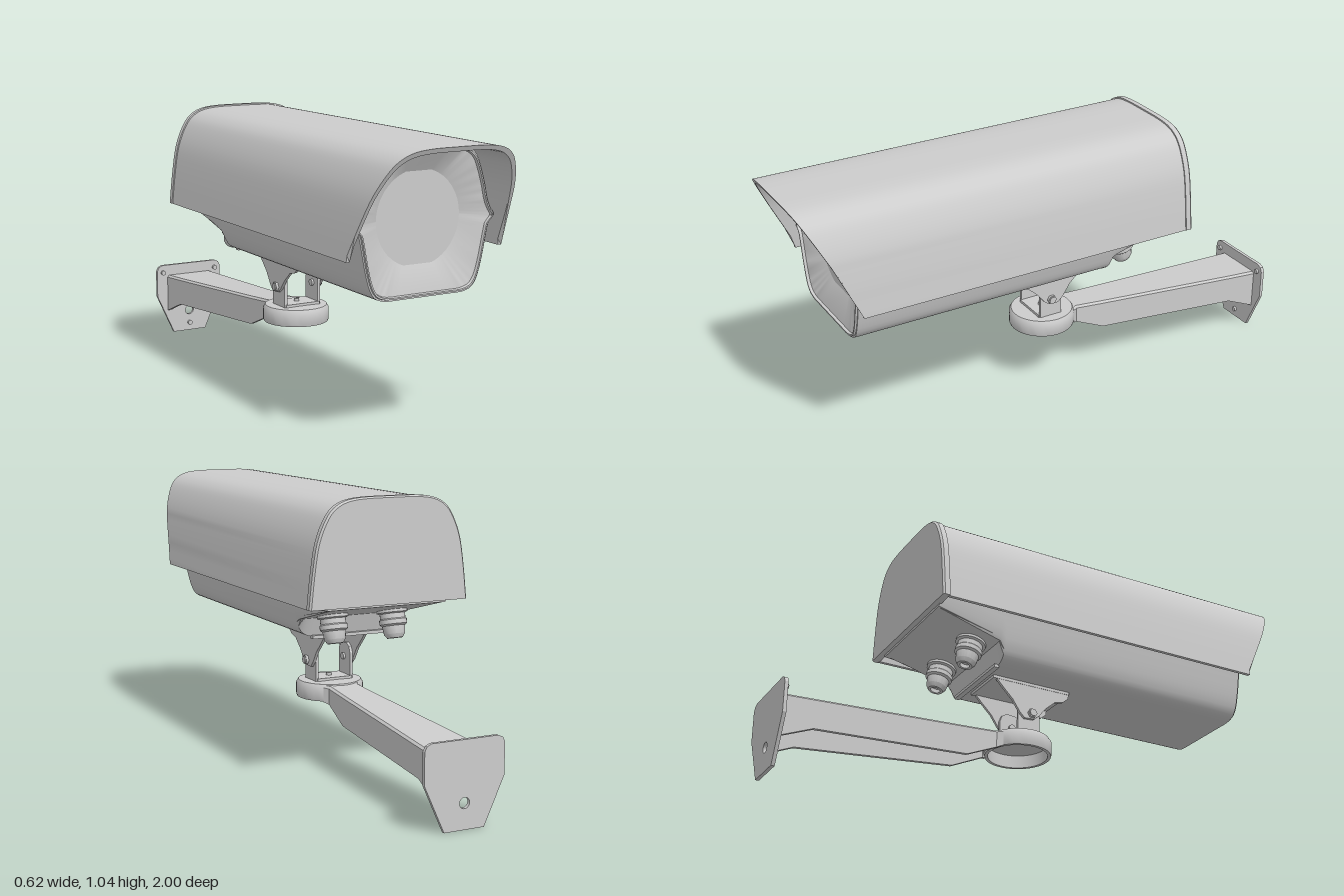
import * as THREE from 'three';
import { toCreasedNormals } from 'three/addons/utils/BufferGeometryUtils.js';

const paint = new THREE.MeshStandardMaterial({ color: 0xcccccc, side: THREE.DoubleSide });
paint.name = 'light grey paint';

const V = (x, y, z) => new THREE.Vector3(x, y, z);

function add(parent, name, geometry, x = 0, y = 0, z = 0) {
  const mesh = new THREE.Mesh(geometry, paint);
  mesh.name = name;
  mesh.position.set(x, y, z);
  parent.add(mesh);
  return mesh;
}

// Skin over counter-clockwise rings, ordered front to back, with optional end caps
function loft(rings, capFront = true, capBack = true, crease = 0.6) {
  const n = rings[0].length, index = [];
  const pos = rings.flat().flatMap((p) => [p.x, p.y, p.z]);
  for (let r = 0; r < rings.length - 1; r++) {
    for (let i = 0; i < n; i++) {
      const a = r * n + i, b = r * n + (i + 1) % n;
      index.push(a, a + n, b, b, a + n, b + n);
    }
  }
  const cap = (r, flip) => {
    const flat = rings[r].map((p) => new THREE.Vector2(p.x, p.y));
    for (const [a, b, c] of THREE.ShapeUtils.triangulateShape(flat, [])) {
      index.push(r * n + a, r * n + (flip ? c : b), r * n + (flip ? b : c));
    }
  };
  if (capFront) cap(0, false);
  if (capBack) cap(rings.length - 1, true);
  const g = new THREE.BufferGeometry();
  g.setAttribute('position', new THREE.Float32BufferAttribute(pos, 3));
  g.setIndex(index);
  return toCreasedNormals(g, crease);
}

// Smooth half outline on +x, mirrored to -x
function mirrored(half, samples) {
  const pts = new THREE.SplineCurve(half.map(([x, y]) => new THREE.Vector2(x, y))).getPoints(samples);
  return [...pts, ...pts.slice().reverse().map((p) => new THREE.Vector2(-p.x, p.y))];
}

// Plate drawn in (z, y), with its thickness along x
function sidePlate(points, thick) {
  const shape = new THREE.Shape(points.map(([z, y]) => new THREE.Vector2(z, y)));
  const g = new THREE.ExtrudeGeometry(shape, { depth: thick, bevelEnabled: false });
  return g.translate(0, 0, -thick / 2).rotateY(-Math.PI / 2);
}

const ROOF = [[0.305, 0.66], [0.292, 0.78], [0.274, 0.885], [0.24, 0.965], [0.205, 1.003], [0.16, 1.022], [0.1, 1.029], [0.03, 1.03]];
const BODY = [[0.1, 0.513], [0.16, 0.515], [0.2, 0.537], [0.225, 0.6], [0.25, 0.72], [0.258, 0.742], [0.276, 0.765],
  [0.262, 0.79], [0.248, 0.825], [0.235, 0.88], [0.21, 0.955], [0.188, 0.985], [0.155, 1.0], [0.08, 1.003]];

function buildRoof(group) {
  const arch = (scale, dy = 0) => mirrored(ROOF, 28).map((p) =>
    new THREE.Vector2(p.x * scale, 0.66 + (p.y - 0.66) * scale + dy));
  const outer = arch(1);
  const inner = outer.map((p) => new THREE.Vector2(p.x * 0.957, 0.66 + (p.y - 0.66) * 0.957)).reverse();
  const shell = [...outer, ...inner];
  // Front edge slants forward into a sun visor
  const slant = (y) => 0.82 + Math.max(0, (y - 0.68) / 0.35) * 0.18;
  add(group, 'roofShell', loft([
    shell.map((p) => V(p.x, p.y, slant(p.y))),
    shell.map((p) => V(p.x, p.y, -0.48)),
  ]));
  const rim = arch(1.012, 0.001);
  add(group, 'rearCap', loft([
    rim.map((p) => V(p.x, p.y, -0.478)),
    rim.map((p) => V(p.x, p.y, -0.498)),
    rim.map((p) => V(p.x * 0.98, 0.663 + (p.y - 0.663) * 0.985, -0.505)),
  ]));
}

function buildBody(group) {
  const cy = 0.765;
  const outline = mirrored(BODY, 44);
  const ring = (scale, z, floor = 0) => outline.map((p) =>
    V(p.x * scale, Math.max(floor, cy + (p.y - cy) * scale), z));
  const lensRing = outline.map((p) => {
    const a = Math.atan2(p.y - cy, p.x);
    return V(0.163 * Math.cos(a), 0.77 + 0.163 * Math.sin(a), 0.77);
  });
  // Funnel, lip, housing and rising rear underside
  add(group, 'housing', loft([
    lensRing, ring(0.945, 0.81), ring(0.955, 0.82), ring(0.975, 0.82), ring(0.98, 0.813), ring(1, 0.813),
    ring(1, -0.21), ring(1, -0.232, 0.585), ring(1, -0.485, 0.652),
  ], false, true));
  add(group, 'lens', new THREE.CircleGeometry(0.164, 40), 0, 0.77, 0.771);
  add(group, 'topCatch', new THREE.BoxGeometry(0.02, 0.02, 0.05), 0, 1.01, 0.78);
  add(group, 'rearLip', new THREE.BoxGeometry(0.32, 0.012, 0.02), 0, 0.513, -0.215);

  // Cable glands
  const gland = [[0, 0.03], [0.056, 0.03], [0.056, -0.008], [0.046, -0.012], [0.046, -0.03], [0.05, -0.034], [0.05, -0.05],
    [0.042, -0.056], [0.038, -0.085], [0.028, -0.1], [0.018, -0.1], [0.018, -0.085], [0, -0.085]]
    .map(([x, y]) => new THREE.Vector2(x, y)).reverse();
  for (const s of [-1, 1]) {
    const m = add(group, 'cableGland', toCreasedNormals(new THREE.LatheGeometry(gland, 24), 0.5), s * 0.12, 0.602, -0.3);
    m.rotation.x = 0.245;
  }
}

function buildJoint(group) {
  add(group, 'jointTopPlate', new THREE.BoxGeometry(0.18, 0.012, 0.32), 0, 0.508, -0.03);
  add(group, 'jointScrew', new THREE.CylinderGeometry(0.016, 0.016, 0.025, 16), 0, 0.498, 0.06);
  const ear = [[0.13, 0.513], [0.125, 0.485], [0.105, 0.468], [0.07, 0.46], [0.03, 0.425], [0, 0.388], [-0.02, 0.372],
    [-0.06, 0.37], [-0.08, 0.39], [-0.11, 0.435], [-0.15, 0.475], [-0.185, 0.513]];
  const cheek = [[0.01, 0.315], [0.01, 0.42], [-0.01, 0.442], [-0.05, 0.447], [-0.07, 0.435], [-0.08, 0.41], [-0.08, 0.315]];
  for (const s of [-1, 1]) {
    add(group, 'upperEar', sidePlate(ear, 0.011), s * 0.083);
    add(group, 'lowerCheek', sidePlate(cheek, 0.011), s * 0.071);
    const bolt = add(group, 'pivotBolt', new THREE.CylinderGeometry(0.013, 0.013, 0.045, 16), s * 0.08, 0.392, -0.03);
    const head = add(group, 'pivotBoltHead', new THREE.CylinderGeometry(0.018, 0.018, 0.01, 6), s * 0.094, 0.392, -0.03);
    bolt.rotation.z = head.rotation.z = Math.PI / 2;
  }
  add(group, 'jointBase', new THREE.BoxGeometry(0.142, 0.012, 0.1), 0, 0.32, -0.035);
  add(group, 'baseScrew', new THREE.CylinderGeometry(0.01, 0.01, 0.02, 16), 0, 0.326, -0.035);
}

function buildArm(group) {
  // Round cup under the joint, open below
  const cup = [[0.11, 0.252], [0.122, 0.252], [0.125, 0.26], [0.125, 0.302], [0.117, 0.315], [0, 0.318]]
    .map(([x, y]) => new THREE.Vector2(x, y));
  cup.unshift(new THREE.Vector2(0, 0.3), new THREE.Vector2(0.11, 0.3));
  add(group, 'armHead', toCreasedNormals(new THREE.LatheGeometry(cup, 40), 0.7), 0, 0, -0.04);

  // Channel-shaped arm, open below: [z, half width, top, bottom]
  const stations = [[-0.14, 0.075, 0.312, 0.25], [-0.16, 0.062, 0.31, 0.243], [-0.28, 0.068, 0.301, 0.19],
    [-0.87, 0.097, 0.262, 0.15], [-0.988, 0.102, 0.255, 0.1]];
  const t = 0.013;
  add(group, 'arm', loft(stations.map(([z, w, top, bot]) => [
    [w, bot], [w, top - 0.008], [w - 0.008, top], [-w + 0.008, top], [-w, top - 0.008], [-w, bot],
    [-w + t, bot], [-w + t, top - t], [w - t, top - t], [w - t, bot],
  ].map(([x, y]) => V(x, y, z)))));

  // Wall plate with a cable hole
  const plate = new THREE.Shape([[-0.075, 0], [0.075, 0], [0.15, 0.165], [0.15, 0.275], [0.142, 0.292], [0.125, 0.3],
    [-0.125, 0.3], [-0.142, 0.292], [-0.15, 0.275], [-0.15, 0.165]].map(([x, y]) => new THREE.Vector2(x, y)));
  plate.holes.push(new THREE.Path().absarc(0, 0.09, 0.019, 0, Math.PI * 2, true));
  add(group, 'wallPlate', new THREE.ExtrudeGeometry(plate, { depth: 0.013, bevelEnabled: false, curveSegments: 20 }), 0, 0, -1);
  for (const [x, y] of [[-0.123, 0.268], [0.123, 0.268], [0, 0.034]]) {
    const m = add(group, 'wallScrew', new THREE.CylinderGeometry(0.01, 0.01, 0.012, 16), x, y, -0.984);
    m.rotation.x = Math.PI / 2;
  }
}

export function createModel() {
  const model = new THREE.Group();
  model.name = 'securityCamera';
  const parts = { roof: buildRoof, body: buildBody, joint: buildJoint, wallArm: buildArm };
  for (const [name, build] of Object.entries(parts)) {
    const group = new THREE.Group();
    group.name = name;
    build(group);
    model.add(group);
  }
  return model;
}
